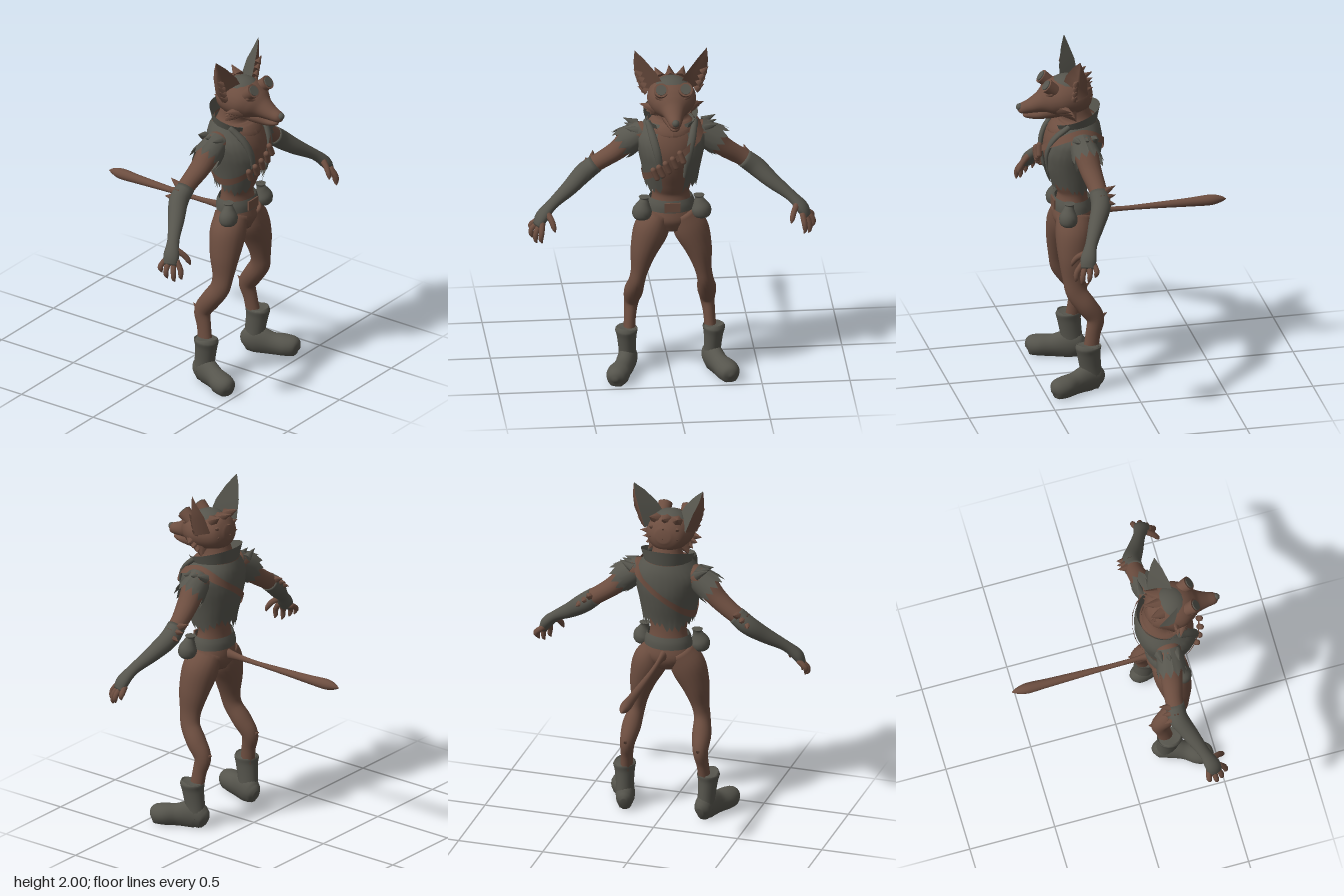
import * as THREE from 'three';

const brown = new THREE.MeshStandardMaterial({ color: 0x6d4e40, side: THREE.DoubleSide });
brown.name = 'russet brown';
const grey = new THREE.MeshStandardMaterial({ color: 0x56554d, side: THREE.DoubleSide });
grey.name = 'weathered grey';

const V = (p) => new THREE.Vector3(p[0], p[1], p[2]);
const FRONT = [0, 0, 1], UP = [0, 1, 0];

// Smooth closed loft through points [x, y, z, radiusA, radiusB]
function sweep(pts, ref = FRONT, n = 18, sub = 5) {
  const path = new THREE.CatmullRomCurve3(pts.map(V), false, 'catmullrom');
  const radii = new THREE.CatmullRomCurve3(pts.map((p) => new THREE.Vector3(p[3], p[4], 0)), false, 'catmullrom');
  const rings = (pts.length - 1) * sub, pos = [], idx = [];
  for (let i = 0; i <= rings; i++) {
    const t = i / rings, c = path.getPoint(t), r = radii.getPoint(t), T = path.getTangent(t);
    const A = V(ref).cross(T).normalize(), B = T.clone().cross(A);
    for (let j = 0; j < n; j++) {
      const a = (j / n) * Math.PI * 2;
      const p = c.clone().addScaledVector(A, r.x * Math.cos(a)).addScaledVector(B, r.y * Math.sin(a));
      pos.push(p.x, p.y, p.z);
      const k = i * n + j, k2 = i * n + ((j + 1) % n);
      if (i < rings) idx.push(k, k2, k + n, k2, k2 + n, k + n);
    }
  }
  const s = pos.length / 3, last = rings * n;
  pos.push(...pts[0].slice(0, 3), ...pts[pts.length - 1].slice(0, 3));
  for (let j = 0; j < n; j++) {
    const k = (j + 1) % n;
    idx.push(s, k, j, s + 1, last + j, last + k);
  }
  return surface(pos, idx);
}

// Open sheet from a point function of (u, v)
function sheet(nu, nv, fn) {
  const pos = [], idx = [];
  for (let i = 0; i <= nv; i++) for (let j = 0; j <= nu; j++) {
    pos.push(...fn(j / nu, i / nv, j));
    const k = i * (nu + 1) + j;
    if (i < nv && j < nu) idx.push(k, k + 1, k + nu + 1, k + 1, k + nu + 2, k + nu + 1);
  }
  return surface(pos, idx);
}

function surface(pos, idx) {
  const g = new THREE.BufferGeometry();
  g.setAttribute('position', new THREE.Float32BufferAttribute(pos, 3));
  g.setIndex(idx);
  g.computeVertexNormals();
  return g;
}

// Torso cross-sections: [y, centre z, half width, half depth]
const TORSO = [[0.9, 0.29, 0.07, 0.08], [0.97, 0.285, 0.145, 0.11], [1.05, 0.285, 0.12, 0.095], [1.13, 0.285, 0.105, 0.082],
  [1.2, 0.295, 0.12, 0.1], [1.3, 0.3, 0.14, 0.135], [1.4, 0.297, 0.165, 0.155], [1.48, 0.285, 0.175, 0.145],
  [1.55, 0.265, 0.13, 0.115], [1.6, 0.265, 0.09, 0.085], [1.7, 0.29, 0.08, 0.08]];

// Point on the torso at height y and angle a from the front, pushed outwards
function onTorso(y, a, off) {
  let i = 0;
  while (i < TORSO.length - 2 && TORSO[i + 1][0] < y) i++;
  const p = TORSO[i], q = TORSO[i + 1], t = (y - p[0]) / (q[0] - p[0]);
  const [zc, rx, rz] = [1, 2, 3].map((k) => p[k] + (q[k] - p[k]) * t);
  return [(rx + off) * Math.sin(a), y, zc + (rz + off) * Math.cos(a)];
}

export function createModel() {
  const model = new THREE.Group();
  const add = (name, geo, mat, at) => {
    const m = new THREE.Mesh(geo, mat);
    m.name = name;
    if (at) m.position.set(...at);
    model.add(m);
    return m;
  };
  const rod = (name, geo, mat, a, b) => {
    const d = V(b).sub(V(a));
    const m = add(name, geo(d.length()), mat, V(a).addScaledVector(d, 0.5).toArray());
    m.quaternion.setFromUnitVectors(V(UP), d.normalize());
    return m;
  };
  const spike = (name, mat, a, b, r) => rod(name, (l) => new THREE.ConeGeometry(r, l, 6), mat, a, b);
  const TAU = Math.PI * 2;

  // Body and tail
  add('torso', sweep(TORSO.map(([y, z, rx, rz]) => [0, y, z, rx, rz]), FRONT, 28), brown);
  add('tail', sweep([[0, 0.99, 0.24, 0.05, 0.055], [0, 0.99, 0.16, 0.018, 0.026], [0, 0.985, 0, 0.014, 0.014],
    [0, 0.985, -0.2, 0.02, 0.018], [0, 0.985, -0.4, 0.026, 0.026], [0, 0.987, -0.52, 0.031, 0.031],
    [0, 0.987, -0.58, 0.018, 0.018], [0, 0.985, -0.61, 0.002, 0.002]], UP, 14), brown);

  // Ragged open vest
  add('vest', sheet(56, 12, (u, v, j) => {
    const low = 1.16 + [0, 0.035, 0.01, 0.045, 0.02][j % 5] + 0.02 * Math.sin(u * 19);
    const y = low + v * (1.57 - low), gap = 0.4 + 0.14 * v;
    return onTorso(y, gap + u * (TAU - 2 * gap), 0.02 + 0.012 * (1 - v));
  }), grey);
  // Tall collar, higher behind, with a scarf band below
  add('collar', sheet(40, 4, (u, v) => {
    const a = 0.65 + u * (TAU - 1.3), back = (1 - Math.cos(a)) / 2;
    return [(0.125 + 0.03 * v) * Math.sin(a), 1.52 + v * (0.05 + 0.09 * back), 0.275 + (0.12 + 0.028 * v) * Math.cos(a)];
  }), grey);
  add('scarf', sheet(40, 3, (u, v) => {
    const a = u * TAU, back = (1 - Math.cos(a)) / 2, r = 0.012 * Math.sin(v * Math.PI);
    return [(0.132 + r) * Math.sin(a), 1.49 + 0.055 * back + v * 0.05, 0.285 + (0.13 + r) * Math.cos(a)];
  }), brown);

  // Bandolier with cartridges, belt with buckle
  add('bandolier', sheet(60, 1, (u, v) => {
    const a = u * TAU;
    return onTorso(1.39 + 0.15 * Math.sin(a) + (v - 0.5) * 0.045, a, 0.036);
  }), brown);
  for (let i = 0; i < 5; i++) {
    const a = -0.6 + i * 0.2, y = 1.385 + 0.15 * Math.sin(a);
    rod('cartridge', (l) => new THREE.CapsuleGeometry(0.017, l, 4, 10), brown,
      onTorso(y - 0.025, a + 0.06, 0.045), onTorso(y + 0.025, a - 0.04, 0.045));
  }
  add('belt', sheet(40, 3, (u, v) => onTorso(1.03 + v * 0.07, u * TAU, 0.012 + 0.006 * Math.sin(v * Math.PI))), grey);
  add('buckle', new THREE.BoxGeometry(0.09, 0.055, 0.009), brown, [0, 1.065, 0.395]);

  // Head, jaw, nose and crown
  add('head', sweep([[0, 1.74, 0.175, 0.04, 0.04], [0, 1.735, 0.21, 0.1, 0.09], [0, 1.725, 0.28, 0.132, 0.11],
    [0, 1.72, 0.36, 0.138, 0.11], [0, 1.705, 0.42, 0.11, 0.09], [0, 1.69, 0.47, 0.068, 0.06],
    [0, 1.672, 0.53, 0.046, 0.04], [0, 1.662, 0.58, 0.033, 0.03], [0, 1.662, 0.6, 0.012, 0.012]], UP, 24), brown);
  add('jaw', sweep([[0, 1.65, 0.34, 0.07, 0.05], [0, 1.635, 0.43, 0.06, 0.045], [0, 1.618, 0.5, 0.036, 0.026],
    [0, 1.62, 0.555, 0.022, 0.015], [0, 1.622, 0.57, 0.006, 0.006]], UP), brown);
  add('nose', new THREE.SphereGeometry(0.021, 14, 10), grey, [0, 1.672, 0.59]);
  add('crown', new THREE.SphereGeometry(1, 24, 10, 0, TAU, 0, 1.2), grey, [0, 1.745, 0.32]).scale.set(0.115, 0.1, 0.115);
  for (let i = 0; i < 9; i++) {
    const x = ((i % 3) - 1) * 0.06, y = 1.7 + 0.06 * Math.floor(i / 3);
    spike('nape tuft', brown, [x, y - 0.01, 0.25], [x * 1.4, y + 0.03, 0.165 + Math.abs(x) * 0.3], 0.035);
  }

  for (const s of [1, -1]) {
    const m = (list) => list.map(([x, ...rest]) => [x * s, ...rest]);
    const P = (x, y, z) => [x * s, y, z];

    // Ear: levels of inner edge, hollow, outer edge, back
    const ear = [
      [[0.035, 1.79, 0.35], [0.11, 1.77, 0.285], [0.165, 1.74, 0.3], [0.12, 1.76, 0.22]],
      [[0.085, 1.875, 0.34], [0.145, 1.87, 0.285], [0.205, 1.85, 0.29], [0.16, 1.87, 0.235]],
      [[0.15, 1.95, 0.315], [0.18, 1.94, 0.285], [0.212, 1.93, 0.285], [0.19, 1.94, 0.26]],
      [[0.204, 2, 0.287], [0.205, 2, 0.285], [0.206, 2, 0.285], [0.205, 2, 0.283]]];
    const earPoint = (c, v) => P(...ear[Math.round(v * 3)][c % 4]);
    add('ear', sheet(3, 3, (u, v) => earPoint(Math.round(u * 3), v)), brown);
    add('ear inner side', sheet(1, 3, (u, v) => earPoint(3 + Math.round(u), v)), grey);
    for (let i = 0; i < 4; i++) {
      const y = 1.76 + i * 0.035;
      spike('ear tuft', brown, P(0.14 + i * 0.012, y - 0.01, 0.3), P(0.19 + i * 0.008, y + 0.025, 0.3), 0.022);
    }
    // Cheek fur, brow, eye and goggle
    for (let i = 0; i < 4; i++)
      spike('cheek tuft', brown, P(0.09, 1.68 - i * 0.014, 0.37 - i * 0.02), P(0.185 - i * 0.022, 1.69 - i * 0.03, 0.33 - i * 0.015), 0.04);
    rod('brow', (l) => new THREE.CapsuleGeometry(0.014, l, 4, 8), brown, P(0.035, 1.745, 0.455), P(0.09, 1.77, 0.425));
    const eye = add('eye', new THREE.SphereGeometry(1, 12, 8), grey, P(0.064, 1.732, 0.448));
    eye.scale.set(0.018, 0.007, 0.008);
    eye.rotation.set(0, s * 0.8, s * 0.35);
    rod('goggle rim', (l) => new THREE.CylinderGeometry(0.041, 0.036, l, 20), brown, P(0.066, 1.775, 0.395), P(0.07, 1.82, 0.45));
    rod('goggle lens', (l) => new THREE.CylinderGeometry(0.03, 0.03, l, 20), grey, P(0.07, 1.82, 0.45), P(0.0704, 1.824, 0.455));
    // Lapel
    add('lapel', sweep(m([[0.135, 1.58, 0.33, 0.016, 0.016], [0.11, 1.5, 0.415, 0.022, 0.014],
      [0.085, 1.4, 0.452, 0.02, 0.012], [0.065, 1.27, 0.435, 0.01, 0.01]]), FRONT, 10), grey);

    // Arm, torn sleeve and long glove
    add('upper arm', sweep(m([[0.12, 1.48, 0.27, 0.07, 0.06], [0.2, 1.465, 0.26, 0.072, 0.07], [0.3, 1.37, 0.245, 0.062, 0.056],
      [0.39, 1.305, 0.23, 0.052, 0.05], [0.47, 1.255, 0.225, 0.05, 0.048]]), UP), brown);
    add('glove', sweep(m([[0.42, 1.285, 0.228, 0.054, 0.052], [0.49, 1.23, 0.23, 0.056, 0.055], [0.575, 1.16, 0.275, 0.047, 0.045],
      [0.68, 1.085, 0.33, 0.035, 0.031], [0.74, 1.025, 0.36, 0.046, 0.034], [0.768, 0.975, 0.37, 0.04, 0.022]]), UP), grey);
    const axis = new THREE.Vector3(0.12, -0.075, -0.01), across = new THREE.Vector3(0.53, 0.85, 0);
    add('sleeve', sheet(24, 4, (u, v, j) => {
      const a = u * TAU, r = 0.068 + 0.02 * v, t = v * (1 + (j % 2) * 0.3 - 0.12);
      const c = new THREE.Vector3(0.15, 1.49, 0.265).addScaledVector(axis, t).addScaledVector(across, r * Math.cos(a));
      return P(c.x, c.y, c.z + r * Math.sin(a));
    }), grey);
    for (let i = 0; i < 3; i++) {
      spike('shoulder tatter', grey, P(0.19, 1.51, 0.2 + i * 0.05), P(0.265, 1.55 - i * 0.01, 0.2 + i * 0.05), 0.028);
      spike('elbow tuft', brown, P(0.44 + i * 0.025, 1.29 - i * 0.02, 0.21), P(0.43 + i * 0.04, 1.325 - i * 0.04, 0.13 + i * 0.008), 0.032);
    }
    // Fingers and thumb
    [[0.8, 0.93, 0.325], [0.802, 0.905, 0.365], [0.78, 0.885, 0.4], [0.752, 0.895, 0.43]].forEach(([x, y, z], i) =>
      add('finger', sweep(m([[0.755 - i * 0.005, 1.0, 0.335 + i * 0.02, 0.017, 0.017],
        [x - 0.004, (y + 1.01) / 2, z, 0.016, 0.016], [x, y + 0.02, z + 0.004, 0.013, 0.013],
        [x - 0.008, y, z + 0.008, 0.003, 0.003]]), FRONT, 8, 3), brown));
    add('thumb', sweep(m([[0.715, 1.055, 0.36, 0.02, 0.02], [0.69, 1.02, 0.41, 0.017, 0.017],
      [0.678, 0.985, 0.435, 0.014, 0.014], [0.672, 0.96, 0.442, 0.003, 0.003]]), FRONT, 8, 3), brown);

    // Belt pouch with flap and tie
    add('pouch', sweep(m([[0.17, 0.975, 0.345, 0.012, 0.012], [0.17, 0.995, 0.345, 0.048, 0.045], [0.168, 1.035, 0.345, 0.056, 0.052],
      [0.16, 1.075, 0.34, 0.036, 0.034], [0.155, 1.1, 0.335, 0.024, 0.024], [0.155, 1.115, 0.335, 0.032, 0.03]]), FRONT, 16), grey);

    // Leg with bent hock
    add('leg', sweep(m([[0.065, 1.0, 0.29, 0.07, 0.1], [0.112, 0.9, 0.3, 0.1, 0.105], [0.155, 0.78, 0.31, 0.078, 0.09],
      [0.18, 0.66, 0.315, 0.05, 0.066], [0.195, 0.58, 0.303, 0.046, 0.06], [0.208, 0.5, 0.25, 0.054, 0.058],
      [0.216, 0.42, 0.2, 0.043, 0.052], [0.225, 0.33, 0.215, 0.034, 0.043], [0.235, 0.2, 0.235, 0.035, 0.045]]), FRONT, 20), brown);
    spike('hock tuft', brown, P(0.215, 0.41, 0.19), P(0.215, 0.45, 0.13), 0.03);
    spike('thigh tuft', brown, P(0.17, 0.9, 0.29), P(0.222, 0.84, 0.28), 0.03);

    // Boot: shaft, cuff and turned-out foot with a flat sole
    add('boot shaft', sweep(m([[0.24, 0.06, 0.225, 0.05, 0.06], [0.243, 0.14, 0.235, 0.05, 0.062],
      [0.247, 0.22, 0.245, 0.056, 0.067], [0.249, 0.262, 0.248, 0.064, 0.074], [0.249, 0.27, 0.248, 0.05, 0.06]])), grey);
    const foot = sweep(m([[0.225, 0.05, 0.158, 0.02, 0.03], [0.23, 0.06, 0.185, 0.047, 0.06], [0.242, 0.075, 0.24, 0.055, 0.08],
      [0.275, 0.06, 0.33, 0.053, 0.062], [0.308, 0.054, 0.4, 0.066, 0.06], [0.328, 0.05, 0.455, 0.052, 0.05],
      [0.335, 0.045, 0.48, 0.012, 0.012]]), UP, 20);
    const fp = foot.attributes.position;
    for (let i = 0; i < fp.count; i++) if (fp.getY(i) < 0.025) fp.setY(i, Math.max(0, fp.getY(i) * 2 - 0.025));
    foot.computeVertexNormals();
    add('boot foot', foot, grey);
  }
  return model;
}
